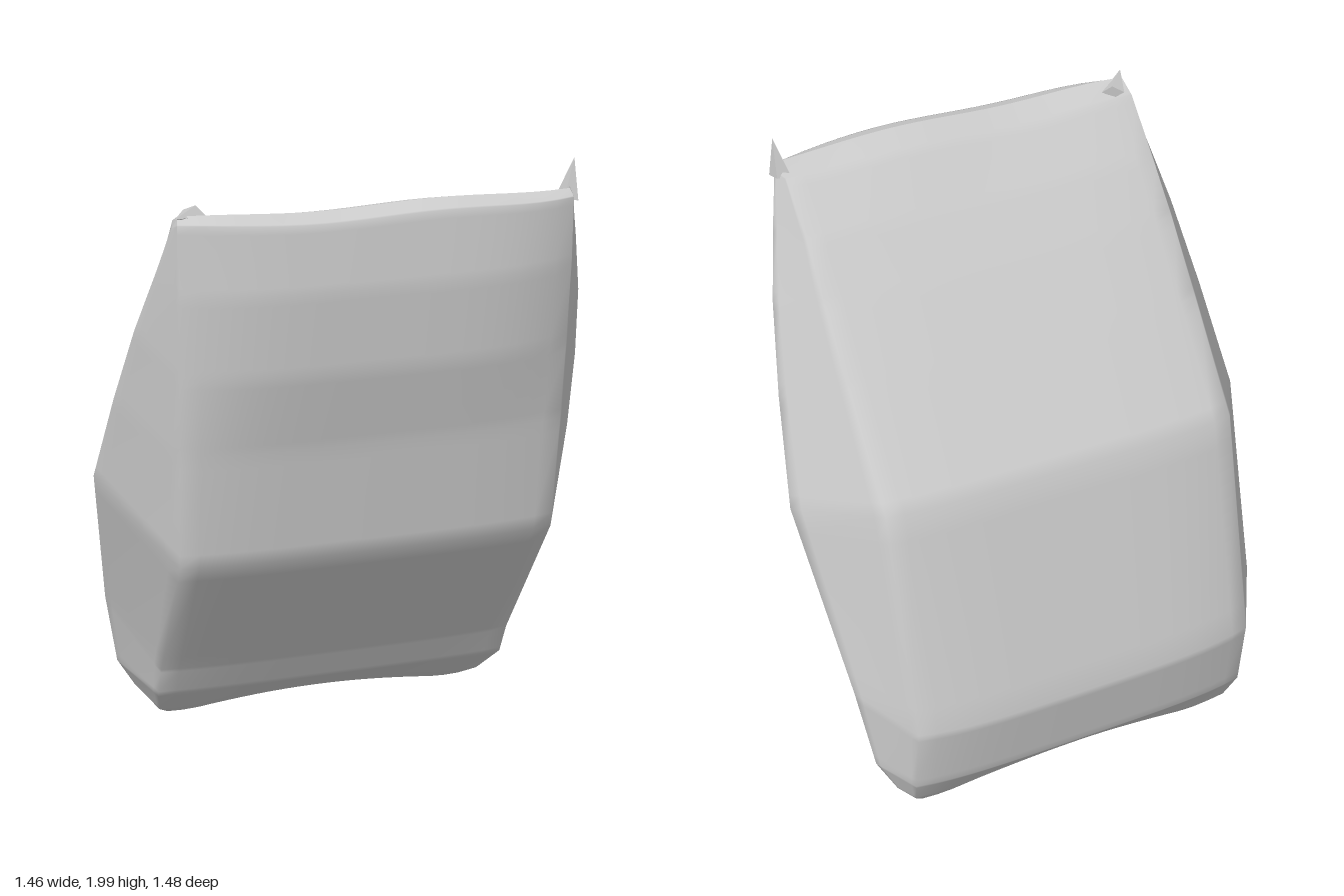
import * as THREE from 'three';

const grey = new THREE.MeshStandardMaterial({ color: 0xcccccc, side: THREE.DoubleSide });

// Rings from bottom to top: height, depth and half width of the front edge,
// side seam and back edge, then how far the front and back panels bulge.
const rings = [
  { front: [0.01, -0.31, 0.47], seam: [0.01, -0.31, 0.47], back: [0.01, -0.31, 0.47], bulge: [0, 0] },
  { front: [0.02, -0.26, 0.5], seam: [0.04, -0.33, 0.54], back: [0.02, -0.35, 0.51], bulge: [0.01, 0.01] },
  { front: [0.07, -0.19, 0.54], seam: [0.09, -0.34, 0.59], back: [0.07, -0.39, 0.55], bulge: [0.01, 0.02] },
  { front: [0.2, -0.05, 0.57], seam: [0.2, -0.32, 0.65], back: [0.17, -0.44, 0.57], bulge: [0.01, 0.03] },
  { front: [0.32, 0.01, 0.57], seam: [0.46, -0.27, 0.69], back: [0.4, -0.47, 0.57], bulge: [0.02, 0.04] },
  { front: [0.83, 0.36, 0.575], seam: [1.0, 0, 0.757], back: [1.1, -0.295, 0.575], bulge: [0.025, 0.02] },
  { front: [1.2, 0.405, 0.575], seam: [1.3, 0.15, 0.715], back: [1.4, -0.06, 0.575], bulge: [0.035, 0.02] },
  { front: [1.45, 0.43, 0.575], seam: [1.55, 0.27, 0.67], back: [1.6, 0.1, 0.575], bulge: [0.07, 0.02] },
  { front: [1.7, 0.45, 0.575], seam: [1.75, 0.36, 0.62], back: [1.75, 0.22, 0.57], bulge: [0.07, 0.01] },
  { front: [1.9, 0.45, 0.575], seam: [1.89, 0.415, 0.585], back: [1.89, 0.36, 0.57], bulge: [0.055, 0.01] },
  { front: [1.92, 0.425, 0.57], seam: [1.92, 0.425, 0.57], back: [1.92, 0.425, 0.57], bulge: [0.02, -0.02] },
];

const COLS = 20;
const TIGHT = [0, 0.12, 0.88]; // extra rows and columns that keep the edge rounding tight

const mix = (p, q, s) => p.map((value, i) => value + (q[i] - value) * s);

// One closed loop: front panel, one side gusset, back panel, other side gusset
function ringPoints(ring, row) {
  const panel = ([y, z, half], bulge, direction) => {
    const points = [];
    for (let i = 0; i <= COLS; i++) {
      const t = direction * (2 * i / COLS - 1);
      const lift = row < 3 ? 0.033 * Math.max(0, 1 - (t / 0.85) ** 2) : 0;
      const wave = row > 8 ? 0.006 * Math.sin(t * 5) : 0;
      points.push([t * half, y + lift + wave, z + direction * bulge * (1 - t ** 4)]);
    }
    return points;
  };
  const front = panel(ring.front, ring.bulge[0], 1);
  const back = panel(ring.back, ring.bulge[1], -1);
  const gusset = (from, to, side) => {
    const seam = [side * ring.seam[2], ring.seam[0], ring.seam[1]];
    return [
      ...TIGHT.slice(1).map((s) => mix(from, seam, s)),
      ...TIGHT.map((s) => mix(seam, to, s)),
    ];
  };
  return [
    ...front, ...gusset(front[COLS], back[0], 1),
    ...back, ...gusset(back[COLS], front[0], -1),
  ];
}

function pouchGeometry() {
  const main = rings.map(ringPoints);
  const loops = main.slice(0, -1).flatMap((loop, r) =>
    TIGHT.map((s) => loop.map((point, j) => mix(point, main[r + 1][j], s))));
  loops.push(main[main.length - 1]);

  const n = loops[0].length;
  const index = [];
  for (let r = 0; r < loops.length - 1; r++) {
    for (let j = 0; j < n; j++) {
      const a = r * n + j, b = r * n + (j + 1) % n;
      index.push(a, b, b + n, a, b + n, a + n);
    }
  }
  const geometry = new THREE.BufferGeometry();
  geometry.setAttribute('position', new THREE.Float32BufferAttribute(loops.flat(2), 3));
  geometry.setIndex(index);
  geometry.computeVertexNormals();
  return geometry;
}

// Small pinched point of film, running from a base to a tip
function pinch(name, base, tip, radius, flatten) {
  const from = new THREE.Vector3(...base), to = new THREE.Vector3(...tip);
  const geometry = new THREE.ConeGeometry(radius, from.distanceTo(to), 4).toNonIndexed();
  geometry.scale(1, 1, flatten);
  geometry.computeVertexNormals();
  const mesh = new THREE.Mesh(geometry, grey);
  mesh.name = name;
  mesh.position.copy(from).lerp(to, 0.5);
  mesh.quaternion.setFromUnitVectors(new THREE.Vector3(0, 1, 0), to.clone().sub(from).normalize());
  return mesh;
}

export function createModel() {
  const group = new THREE.Group();
  group.name = 'leaningPouch';

  // Filled pouch, turned an eighth of a circle
  const pouch = new THREE.Mesh(pouchGeometry(), grey);
  pouch.name = 'pouch';
  pouch.rotation.y = Math.PI / 4;
  group.add(pouch);

  // Pinched corners at the ends of the top seal
  group.add(pinch('uprightCornerPinch', [0.69, 1.88, -0.12], [0.705, 2, -0.125], 0.035, 0.6));
  group.add(pinch('foldedCornerPinch', [-0.1, 1.915, 0.62], [-0.085, 1.93, 0.745], 0.035, 0.6));
  return group;
}
